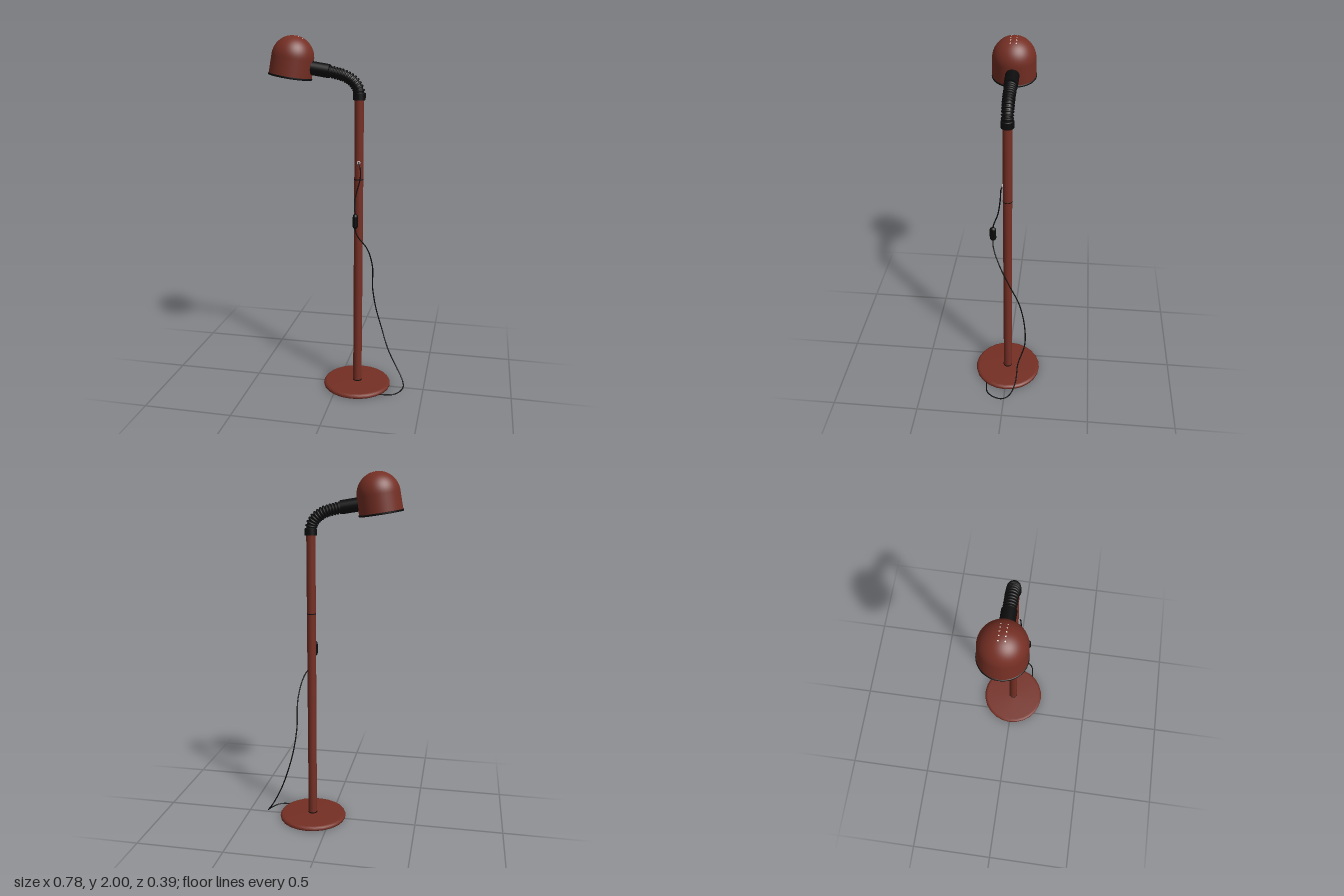
import * as THREE from 'three';

const red = new THREE.MeshStandardMaterial({ color: 0x752f24 });
const black = new THREE.MeshStandardMaterial({ color: 0x0c0c0c });
const white = new THREE.MeshStandardMaterial({ color: 0xe2e2e0, side: THREE.DoubleSide });
const glass = new THREE.MeshStandardMaterial({ color: 0xc4c4c2 });
red.name = 'russet enamel';
black.name = 'black rubber';
white.name = 'white lining';
glass.name = 'bulb glass';

const POLE_X = 0.11;

function add(parent, name, geometry, material, x = 0, y = 0, z = 0) {
  const mesh = new THREE.Mesh(geometry, material);
  mesh.name = name;
  mesh.position.set(x, y, z);
  parent.add(mesh);
  return mesh;
}

const lathe = (pts, sides) =>
  new THREE.LatheGeometry(pts.map(([r, y]) => new THREE.Vector2(r, y)), sides);
const path = (pts) => new THREE.CatmullRomCurve3(pts.map((p) => new THREE.Vector3(...p)));

// Cylinder wall that runs up into a dome
function domeProfile(r, wall, start) {
  const pts = [[r * 1.02, start]];
  for (let i = 0; i <= 14; i++) {
    const a = (i / 14) * Math.PI / 2;
    pts.push([Math.max(r * Math.cos(a), 0), wall + r * Math.sin(a)]);
  }
  return pts;
}

function createShade() {
  const shade = new THREE.Group();
  shade.name = 'shade';
  const R = 0.115, WALL = 0.105;
  add(shade, 'shadeShell', lathe(domeProfile(R, WALL, 0.008), 40), red);
  add(shade, 'shadeLining', lathe(domeProfile(R - 0.004, WALL, 0.004), 40), white);
  add(shade, 'shadeRim', lathe([[0.112, 0.01], [0.112, 0], [0.119, 0], [0.12, 0.005], [0.119, 0.01], [0.112, 0.01]], 40), black);

  // Two rows of vent holes across the crown
  for (let i = -2; i <= 2; i++) {
    for (const z of [-0.015, 0.015]) {
      const n = new THREE.Vector3(i * 0.021, 0, z);
      n.y = Math.sqrt(R * R - n.lengthSq());
      n.normalize();
      const hole = add(shade, 'ventHole', new THREE.CircleGeometry(0.0035, 10), white);
      hole.position.copy(n).multiplyScalar(R + 0.0008).add(new THREE.Vector3(0, WALL, 0));
      hole.quaternion.setFromUnitVectors(new THREE.Vector3(0, 0, 1), n);
    }
  }

  // Bulb and socket
  add(shade, 'bulb', new THREE.SphereGeometry(0.045, 24, 16), glass, 0, 0.065, 0);
  add(shade, 'socket', new THREE.CylinderGeometry(0.022, 0.022, 0.1, 20), white, 0, 0.15, 0);

  // Sleeve that joins the shade to the flexible neck
  const sleeve = add(shade, 'neckSleeve', new THREE.CylinderGeometry(0.037, 0.037, 0.105, 24), black, 0.155, 0.067, 0);
  sleeve.rotation.z = Math.PI / 2;

  shade.position.set(-0.27, 1.78, 0);
  shade.rotation.z = -0.16;
  return shade;
}

function createNeck() {
  const neck = new THREE.Group();
  neck.name = 'flexibleNeck';
  const curve = path([
    [-0.08, 1.816, 0], [-0.02, 1.804, 0], [0.035, 1.788, 0],
    [0.08, 1.758, 0], [0.105, 1.72, 0], [POLE_X, 1.68, 0],
  ]);
  add(neck, 'neckCore', new THREE.TubeGeometry(curve, 40, 0.026, 16), black);
  const RIBS = 17;
  for (let i = 0; i < RIBS; i++) {
    const t = i / (RIBS - 1);
    const rib = add(neck, 'neckRib', new THREE.TorusGeometry(0.028, 0.0055, 8, 24), black);
    rib.position.copy(curve.getPointAt(t));
    rib.quaternion.setFromUnitVectors(new THREE.Vector3(0, 0, 1), curve.getTangentAt(t));
  }
  add(neck, 'neckCollar', new THREE.CylinderGeometry(0.034, 0.034, 0.035, 24), black, POLE_X, 1.682, 0);
  return neck;
}

function createCord() {
  const cord = new THREE.Group();
  cord.name = 'powerCord';
  const curve = path([
    [0.113, 1.33, 0.024], [0.122, 1.31, 0.033], [0.125, 1.25, 0.037],
    [0.102, 1.14, 0.054], [0.107, 1.06, 0.08], [0.107, 0.97, 0.082],
    [0.12, 0.93, 0.078], [0.168, 0.85, 0.042], [0.19, 0.73, -0.014],
    [0.183, 0.58, -0.074], [0.2, 0.44, -0.106], [0.233, 0.32, -0.112],
    [0.28, 0.2, -0.076], [0.33, 0.1, -0.066], [0.372, 0.035, -0.035],
    [0.385, 0.012, 0.008], [0.37, 0.005, 0.06], [0.345, 0.005, 0.095],
    [0.32, 0.005, 0.109], [0.25, 0.005, 0.117],
  ]);
  add(cord, 'cable', new THREE.TubeGeometry(curve, 180, 0.0035, 8), black);
  add(cord, 'switchBody', new THREE.CapsuleGeometry(0.018, 0.05, 6, 16), black, 0.107, 1.015, 0.081).scale.x = 0.8;
  // Grommet where the cable leaves the pole
  const grommet = add(cord, 'cableGrommet', new THREE.TorusGeometry(0.007, 0.003, 8, 16), glass, 0.113, 1.33, 0.026);
  grommet.scale.z = 0.8;
  return cord;
}

export function createModel() {
  const lamp = new THREE.Group();
  lamp.name = 'floorLamp';

  // Weighted disc base with a rounded lip
  const base = lathe([[0, 0], [0.185, 0]], 24);
  add(lamp, 'baseUnderside', base, red, POLE_X - 0.002, 0, 0);
  add(lamp, 'base', lathe([
    [0.185, 0], [0.194, 0.003], [0.195, 0.012], [0.19, 0.02], [0.178, 0.025], [0, 0.027],
  ], 24), red, POLE_X - 0.002, 0, 0);

  // Pole with its joint and foot rings
  add(lamp, 'pole', new THREE.CylinderGeometry(0.025, 0.025, 1.66, 24), red, POLE_X, 0.85, 0);
  add(lamp, 'poleJoint', new THREE.CylinderGeometry(0.0256, 0.0256, 0.005, 24), black, POLE_X, 1.234, 0);
  add(lamp, 'poleFoot', new THREE.CylinderGeometry(0.0265, 0.0265, 0.006, 24), black, POLE_X, 0.029, 0);

  lamp.add(createShade(), createNeck(), createCord());
  return lamp;
}
